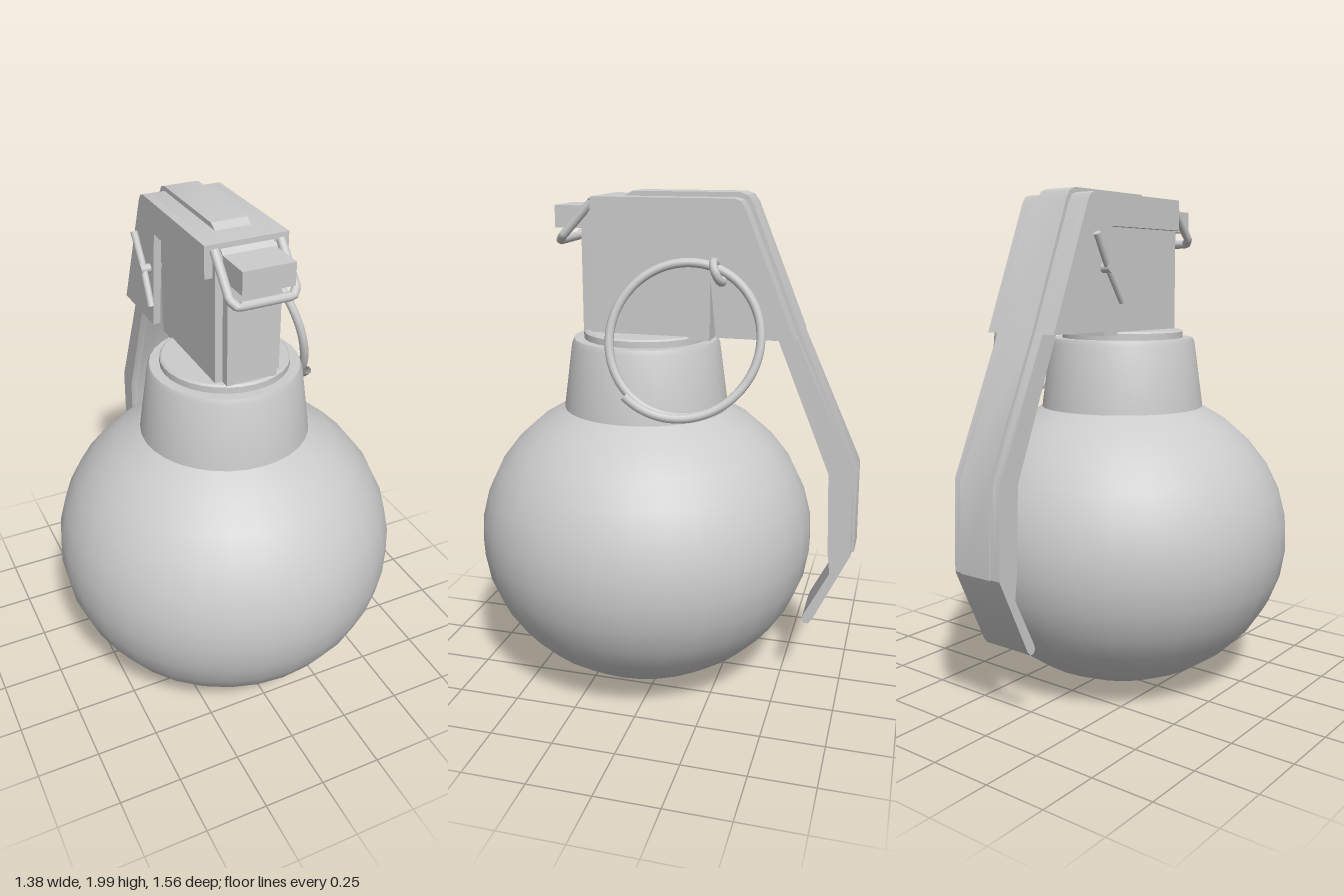
import * as THREE from 'three';
import { toCreasedNormals } from 'three/addons/utils/BufferGeometryUtils.js';

const material = new THREE.MeshStandardMaterial({ color: 0xcccccc, side: THREE.DoubleSide });
const AXIS_Z = 0.09; // centre line of the round body

export function createModel() {
  const group = new THREE.Group();

  const add = (name, geometry) => {
    const mesh = new THREE.Mesh(geometry, material);
    mesh.name = name;
    group.add(mesh);
    return mesh;
  };
  const lathe = (name, points, segments = 32) => {
    const g = new THREE.LatheGeometry(points.map(([r, y]) => new THREE.Vector2(r, y)), segments);
    add(name, toCreasedNormals(g, 0.45)).position.z = AXIS_Z;
  };
  // Extrudes a [z, y] outline from x0 to x1
  const slab = (name, points, x0, x1) => {
    const shape = new THREE.Shape(points.map(([z, y]) => new THREE.Vector2(z, y)));
    const g = new THREE.ExtrudeGeometry(shape, { depth: x1 - x0, bevelEnabled: false });
    g.rotateY(-Math.PI / 2).translate(x1, 0, 0);
    return add(name, toCreasedNormals(g, 0.5));
  };
  const pair = (name, points, x0, x1) => {
    slab(name + 'Left', points, x0, x1);
    slab(name + 'Right', points, -x1, -x0);
  };
  const box = (name, w, h, d, x, y, z) =>
    add(name, new THREE.BoxGeometry(w, h, d)).position.set(x, y, z);
  const rod = (name, a, b, radius) => {
    const curve = new THREE.LineCurve3(new THREE.Vector3(...a), new THREE.Vector3(...b));
    const mid = curve.getPoint(0.5);
    const mesh = add(name, new THREE.CylinderGeometry(radius, radius, curve.getLength(), 12));
    mesh.position.copy(mid);
    mesh.quaternion.setFromUnitVectors(new THREE.Vector3(0, 1, 0), curve.getTangent(0));
  };

  // Slightly squashed round body, cut flat at the base and at the neck
  const profile = [[0, 0.005]];
  const start = Math.asin(0.135 / 0.69), end = Math.PI - Math.asin(0.33 / 0.69);
  for (let i = 0; i <= 13; i++) {
    const a = start + (end - start) * i / 13;
    profile.push([0.69 * Math.sin(a), 0.61 - 0.615 * Math.cos(a)]);
  }
  lathe('body', profile);

  // Tapered neck and the collar on top
  lathe('neck', [[0.335, 1.13], [0.33, 1.17], [0.297, 1.41], [0.288, 1.43], [0, 1.43]]);
  lathe('collar', [[0.248, 1.42], [0.248, 1.455], [0.24, 1.462], [0, 1.462]]);

  // Head block with a narrower raised front
  box('headBlock', 0.26, 0.52, 0.46, 0, 1.71, 0.03);
  slab('headFront', [[0.25, 1.46], [0.318, 1.46], [0.318, 1.9], [0.26, 1.96], [0.25, 1.96]], -0.1, 0.1);
  pair('headFrontRib', [[0.25, 1.46], [0.28, 1.46], [0.28, 1.93], [0.25, 1.96]], 0.1, 0.13);
  box('latchBlock', 0.2, 0.085, 0.17, 0, 1.9, 0.34);

  // Wire bail around the latch block
  const bailPoints = [
    [-0.125, 1.96, 0.265], [-0.125, 1.83, 0.385], [-0.105, 1.81, 0.403],
    [0.105, 1.81, 0.403], [0.125, 1.83, 0.385], [0.125, 1.96, 0.265],
  ].map(p => new THREE.Vector3(...p));
  const bail = new THREE.CurvePath();
  for (let i = 0; i < bailPoints.length - 1; i++)
    bail.add(new THREE.LineCurve3(bailPoints[i], bailPoints[i + 1]));
  add('wireBail', new THREE.TubeGeometry(bail, 60, 0.017, 10));

  // Lever head: hollow cover with side cheeks
  pair('coverCheek', [
    [0.26, 1.98], [-0.29, 1.98], [-0.315, 1.972], [-0.333, 1.945], [-0.53, 1.47],
    [-0.23, 1.47], [-0.19, 1.86], [0.26, 1.86],
  ], 0.13, 0.16);
  slab('coverTop', [
    [0.26, 1.98], [-0.29, 1.98], [-0.315, 1.972], [-0.333, 1.945], [-0.53, 1.47],
    [-0.5, 1.47], [-0.3, 1.94], [-0.28, 1.95], [0.26, 1.95],
  ], -0.13, 0.13);

  // Lever arm: a channel with flanges, ending in a plain bent tip
  slab('leverWeb', [
    [-0.53, 1.47], [-0.765, 0.96], [-0.775, 0.62], [-0.745, 0.62], [-0.735, 0.965], [-0.5, 1.47],
  ], -0.08, 0.08);
  pair('leverFlange', [
    [-0.455, 1.475], [-0.53, 1.475], [-0.765, 0.96], [-0.775, 0.62],
    [-0.7, 0.5], [-0.685, 0.62], [-0.672, 0.95],
  ], 0.08, 0.11);
  slab('leverTip', [
    [-0.775, 0.62], [-0.635, 0.32], [-0.62, 0.302], [-0.602, 0.302], [-0.593, 0.318],
    [-0.6, 0.34], [-0.69, 0.52], [-0.74, 0.63],
  ], -0.11, 0.11);

  // Raised rib running over the whole lever
  slab('leverRib', [
    [0.16, 1.975], [0.12, 1.998], [-0.295, 1.998], [-0.325, 1.988], [-0.345, 1.96],
    [-0.545, 1.47], [-0.778, 0.96], [-0.784, 0.62], [-0.76, 0.62], [-0.755, 0.96],
    [-0.52, 1.47], [-0.32, 1.94], [-0.28, 1.965],
  ], -0.07, 0.07);

  // Cross pin with its spread ends and eye
  rod('crossPin', [-0.2, 1.705, -0.245], [0.19, 1.705, -0.245], 0.018);
  rod('pinEndUpper', [-0.185, 1.705, -0.245], [-0.19, 1.83, -0.32], 0.014);
  rod('pinEndLower', [-0.185, 1.705, -0.245], [-0.19, 1.58, -0.165], 0.014);
  const eye = add('pinEye', new THREE.TorusGeometry(0.04, 0.016, 10, 20));
  eye.position.set(0.205, 1.722, -0.245);
  eye.rotation.x = 0.4;

  // Leaning pull ring, its wire overlapping past one full turn
  const ringPoints = [];
  for (let i = 0; i <= 76; i++) {
    const a = -1.98 + i / 64 * Math.PI * 2;
    const dy = -0.277 * Math.cos(a + Math.PI * 0.5 + 0.02), dz = 0.277 * Math.sin(a + Math.PI * 0.5 + 0.02);
    const lift = Math.max(0, i - 58) / 18 * 0.045;
    ringPoints.push(new THREE.Vector3(0.262 - 0.24 * dy + 0.17 * dz + lift, 1.475 + dy, -0.135 + dz));
  }
  // Turn the wire so the overlap lies across the top of the ring
  const ring = new THREE.CatmullRomCurve3(ringPoints);
  add('pullRing', new THREE.TubeGeometry(ring, 100, 0.017, 10));

  return group;
}
